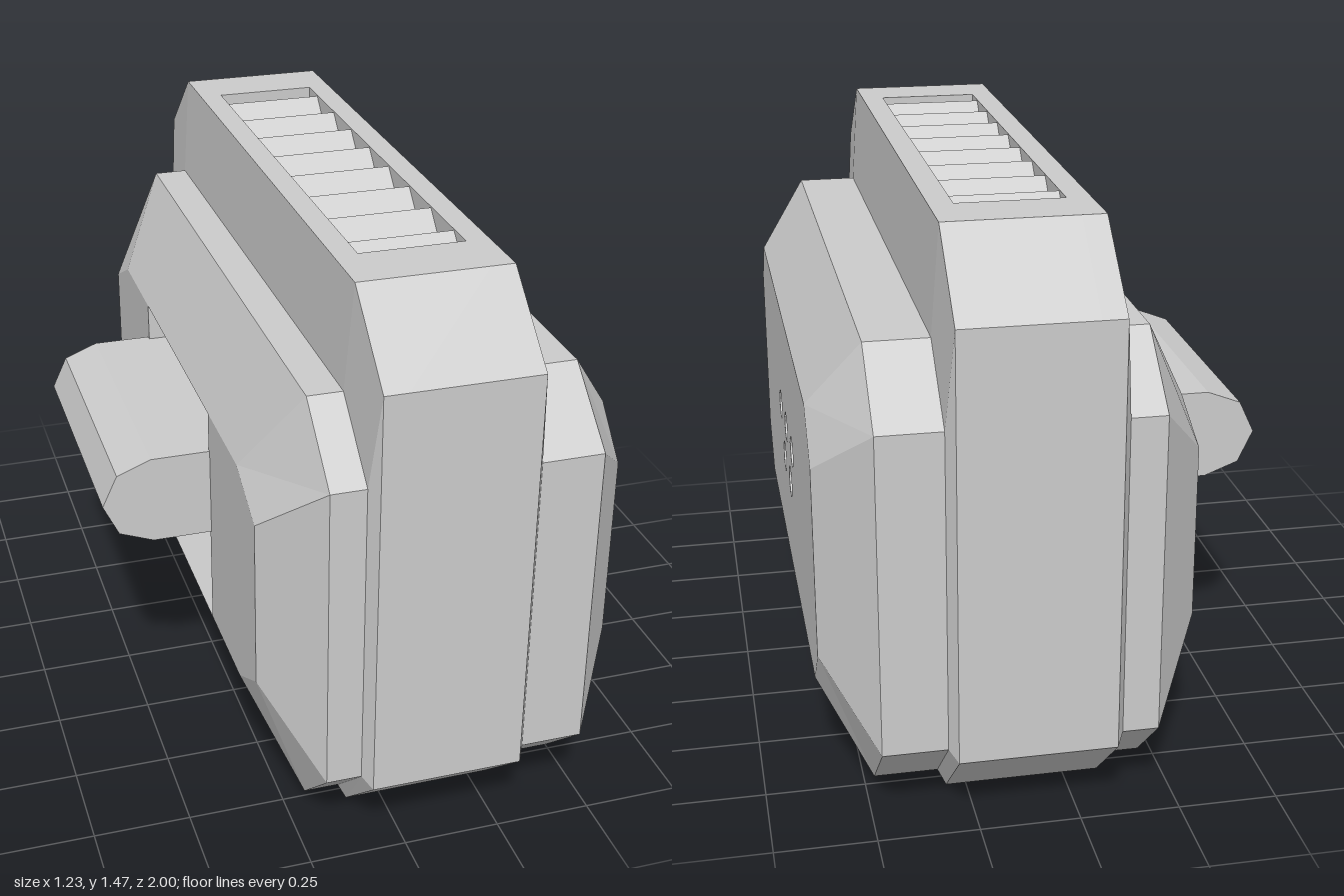
import * as THREE from 'three';

const material = new THREE.MeshStandardMaterial({ color: 0xcccccc, flatShading: true });

// Flat-faced mesh from a list of convex polygons, corners counter-clockwise from outside
function polyMesh(name, polys) {
  const pos = [];
  for (const p of polys) {
    for (let i = 1; i < p.length - 1; i++) pos.push(...p[0], ...p[i], ...p[i + 1]);
  }
  const g = new THREE.BufferGeometry();
  g.setAttribute('position', new THREE.Float32BufferAttribute(pos, 3));
  g.computeVertexNormals();
  return named(name, g);
}

function named(name, geometry) {
  const m = new THREE.Mesh(geometry, material);
  m.name = name;
  return m;
}

// Clipped rectangle as [u, y], where u = -z; zi and y0i/y1i are the clipped corners
function octagon(z, zi, y0, y0i, y1i, y1) {
  return [[-zi, y0], [zi, y0], [z, y0i], [z, y1i], [zi, y1], [-zi, y1], [-z, y1i], [-z, y0i]];
}
const at = (x, outline) => outline.map(([u, y]) => [x, y, -u]);

// Bands between successive rings, given in order of rising x
function loft(rings) {
  const quads = [];
  for (let r = 0; r < rings.length - 1; r++) {
    const a = rings[r], b = rings[r + 1];
    a.forEach((p, i) => {
      const j = (i + 1) % a.length;
      quads.push([p, a[j], b[j], b[i]]);
    });
  }
  return quads;
}

const toShape = (pts) => new THREE.Shape(pts.map(([u, y]) => new THREE.Vector2(u, y)));

// Extrude a [u, y] outline from x0 to x1
function slab(name, pts, x0, x1) {
  const g = new THREE.ExtrudeGeometry(toShape(pts), { depth: x1 - x0, bevelEnabled: false });
  g.rotateY(Math.PI / 2).translate(x0, 0, 0);
  return named(name, g);
}

export function createModel() {
  const model = new THREE.Group();
  const core = octagon(1, 0.79, 0, 0.19, 1.28, 1.465);
  const shell = octagon(0.965, 0.78, 0.04, 0.21, 1.03, 1.19);
  const faceA = octagon(0.79, 0.68, 0.28, 0.4, 0.89, 1.01);
  const faceB = octagon(0.79, 0.63, 0.33, 0.42, 0.87, 0.95);

  // Central body, with a row of angled louvres let into the top
  const vent = [];
  const teeth = 8, half = 0.63, floorY = 1.385;
  vent.push([half, 1.465]);
  for (let i = 0; i <= teeth * 2; i++) {
    vent.push([half - (i * half) / teeth, i % 2 ? 1.462 : floorY]);
  }
  vent.push([-half, 1.465]);
  const louvred = [...core.slice(0, 5), ...vent, ...core.slice(5)];
  model.add(slab('centralBodyRight', core, -0.09, -0.03));
  model.add(slab('ventLouvres', louvred, -0.03, 0.24));
  model.add(slab('centralBodyLeft', core, 0.24, 0.3));
  model.add(polyMesh('centralBodySides', [
    ...loft([at(-0.11, shell), at(-0.09, core)]),
    ...loft([at(0.3, core), at(0.32, shell)]),
  ]));

  // Bevelled side shells
  model.add(polyMesh('frontShell', loft([at(0.32, shell), at(0.48, shell), at(0.61, faceA)])));
  model.add(polyMesh('rearShell', loft([at(-0.33, faceB), at(-0.2, shell), at(-0.11, shell)])));

  // Face plate with five round holes
  const plate = toShape(faceA);
  const holes = [[-0.185, 0.685], [-0.005, 0.685], [0.18, 0.685], [-0.1, 0.56], [0.085, 0.56]];
  const radius = 0.042, depth = 0.02;
  for (const [u, y] of holes) {
    plate.holes.push(new THREE.Path().absarc(u, y, radius, 0, Math.PI * 2, true));
    const wall = new THREE.CylinderGeometry(radius, radius, depth, 12, 1, true);
    wall.scale(-1, 1, 1).rotateZ(Math.PI / 2).translate(0.61 - depth / 2, y, -u);
    const rim = named('holeWall', wall);
    rim.material = material.clone();
    rim.material.side = THREE.DoubleSide;
    const disc = new THREE.CircleGeometry(radius, 12);
    disc.rotateY(Math.PI / 2).translate(0.61 - depth, y, -u);
    model.add(rim, named('holeFloor', disc));
  }
  const plateGeo = new THREE.ShapeGeometry(plate, 12);
  plateGeo.rotateY(Math.PI / 2).translate(0.61, 0, 0);
  model.add(named('facePlate', plateGeo));

  // Flat pads at both ends of the grip recess
  const w = 0.35, xo = -0.33, xi = -0.115;
  const padEnd = [[w, 0.33], [0.63, 0.33], [0.79, 0.42], [0.79, 0.87], [0.63, 0.95], [w, 0.95]];
  model.add(polyMesh('gripPads', [
    padEnd.map(([z, y]) => [xo, y, z]),
    padEnd.map(([z, y]) => [xo, y, -z]).reverse(),
  ]));

  // Recess behind the grip: sloped top and bottom, flat back, upright ends
  const pocket = [[xo, 0.33], [xi, 0.49], [xi, 0.79], [xo, 0.95]];
  const recess = [];
  for (let i = 0; i < 3; i++) {
    const [a, b] = [pocket[i], pocket[i + 1]];
    recess.push([[...a, -w], [...a, w], [...b, w], [...b, -w]]);
  }
  recess.push(pocket.map((p) => [...p, -w]), pocket.map((p) => [...p, w]).reverse());
  model.add(polyMesh('gripRecess', recess));

  // Grip bar bridging the recess
  const bar = new THREE.Shape([
    [-0.25, 0.605], [-0.25, 0.845], [-0.485, 0.845], [-0.575, 0.81],
    [-0.615, 0.725], [-0.575, 0.64], [-0.485, 0.605],
  ].map(([x, y]) => new THREE.Vector2(x, y)));
  const barGeo = new THREE.ExtrudeGeometry(bar, { depth: 0.725, bevelEnabled: false });
  barGeo.translate(0, 0, -0.365);
  model.add(named('gripBar', barGeo));

  return model;
}
